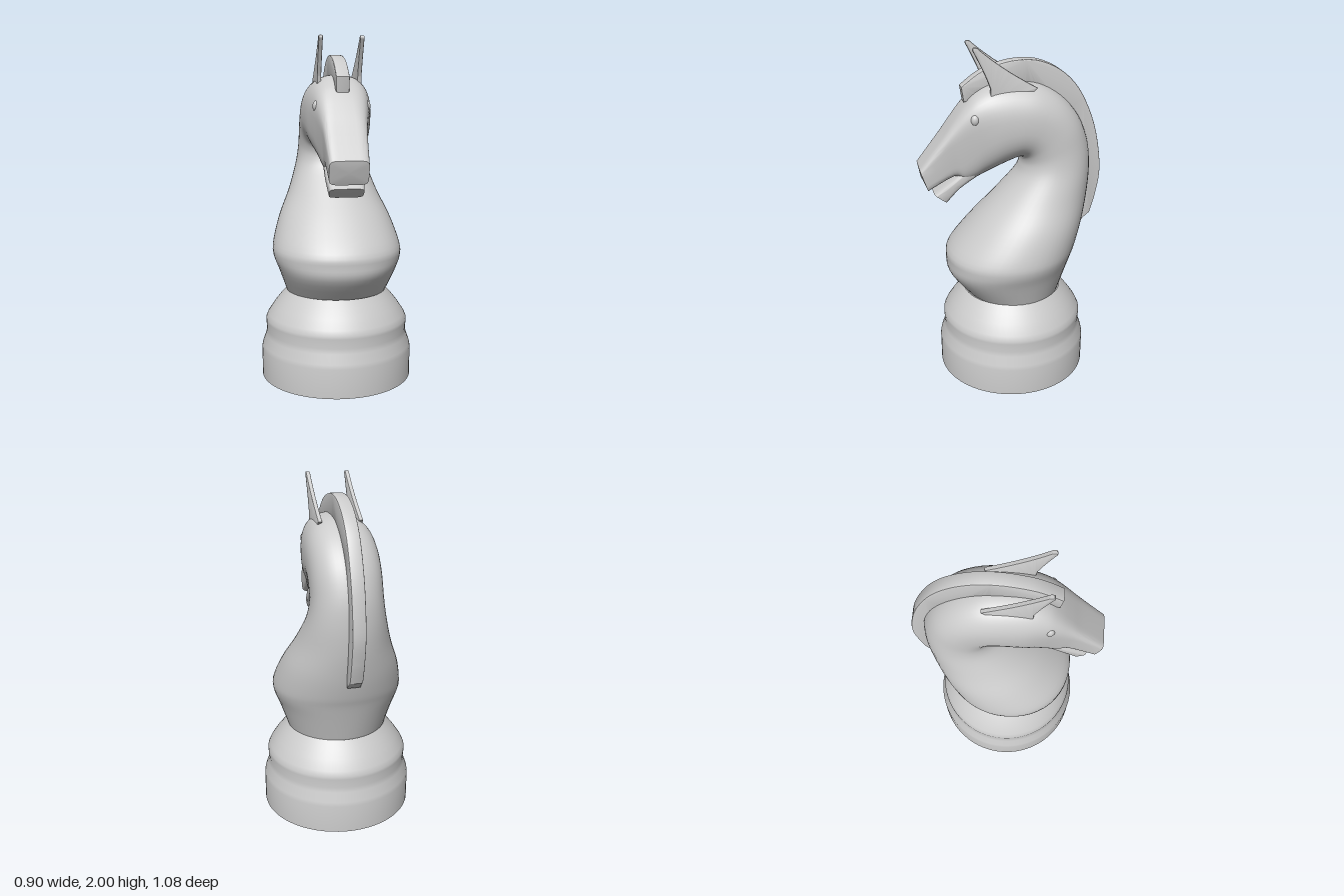
import * as THREE from 'three';
import { toCreasedNormals } from 'three/addons/utils/BufferGeometryUtils.js';

const grey = new THREE.MeshStandardMaterial({ color: 0xcccccc, side: THREE.DoubleSide });

function part(name, geometry) {
  const mesh = new THREE.Mesh(geometry, grey);
  mesh.name = name;
  return mesh;
}

// Catmull-Rom blend of four numbers
function blend(a, b, c, d, t) {
  return b + 0.5 * t * (c - a + t * (2 * a - 5 * b + 4 * c - d + t * (3 * (b - c) + d - a)));
}

// Loft of rounded cross-sections. Each row holds
// front z, front y, back z, back y, half width, squareness, taper towards the back
function loft(rows, steps, crease) {
  const sides = 48, last = rows.length - 1, rings = last * steps;
  const row = (i) => rows[Math.max(0, Math.min(last, i))];
  const position = [], index = [];
  let s;
  for (let i = 0; i <= rings; i++) {
    const k = Math.min(Math.floor(i / steps), last - 1), t = i / steps - k;
    s = row(k).map((v, c) => blend(row(k - 1)[c], v, row(k + 1)[c], row(k + 2)[c], t));
    const [fz, fy, bz, by, w, n, taper] = s;
    for (let j = 0; j < sides; j++) {
      const a = (j / sides) * Math.PI * 2, c0 = Math.cos(a), s0 = Math.sin(a);
      const c = Math.sign(c0) * Math.abs(c0) ** (2 / n);
      const x = Math.sign(s0) * Math.abs(s0) ** (2 / n) * w * (1 + taper * c);
      position.push(x, (fy + by) / 2 + (c * (fy - by)) / 2, (fz + bz) / 2 + (c * (fz - bz)) / 2);
      if (i < rings) {
        const p = i * sides + j, q = i * sides + ((j + 1) % sides);
        index.push(p, q, q + sides, p, q + sides, p + sides);
      }
    }
  }
  // Closing cap with a slightly raised middle
  const tip = position.length / 3, start = rings * sides;
  position.push(0, (s[1] + s[3]) / 2, (s[0] + s[2]) / 2 + 0.01);
  for (let j = 0; j < sides; j++) index.push(start + j, start + ((j + 1) % sides), tip);
  const g = new THREE.BufferGeometry();
  g.setAttribute('position', new THREE.Float32BufferAttribute(position, 3));
  g.setIndex(index);
  return toCreasedNormals(g, crease);
}

// Flat plate drawn in the side plane (z, y), centred on x = 0
function plate(shape, thickness, bevel) {
  const depth = thickness - 2 * bevel;
  const g = new THREE.ExtrudeGeometry(shape, {
    depth, bevelEnabled: true, bevelSize: bevel, bevelThickness: bevel,
    bevelOffset: -bevel, bevelSegments: 2, curveSegments: 40,
  });
  g.translate(0, 0, -depth / 2);
  g.rotateY(-Math.PI / 2);
  return toCreasedNormals(g, 0.6);
}

const points = (list) => list.map(([a, b]) => new THREE.Vector2(a, b));

export function createModel() {
  const model = new THREE.Group();
  model.name = 'knightChessPiece';

  // Turned foot, open underneath
  const profile = points([
    [0.452, 0], [0.452, 0.17], [0.447, 0.195], [0.427, 0.25], [0.421, 0.28], [0.426, 0.335],
    [0.425, 0.352], [0.412, 0.38], [0.375, 0.435], [0.335, 0.485], [0.298, 0.525],
  ]);
  model.add(part('base', toCreasedNormals(new THREE.LatheGeometry(profile, 64), 0.6)));

  // Chest, neck and head in one sweep
  model.add(part('body', loft([
    [0.285, 0.52, -0.29, 0.52, 0.298, 2, 0],
    [0.385, 0.65, -0.33, 0.66, 0.345, 2.1, 0],
    [0.398, 0.73, -0.36, 0.76, 0.378, 2.1, 0],
    [0.382, 0.805, -0.385, 0.83, 0.377, 2.1, 0],
    [0.25, 0.96, -0.42, 0.96, 0.335, 2.1, 0],
    [0.115, 1.1, -0.45, 1.12, 0.27, 2.1, 0],
    [-0.015, 1.235, -0.46, 1.28, 0.222, 2.2, 0],
    [-0.05, 1.3, -0.445, 1.43, 0.203, 2.2, 0],
    [-0.055, 1.34, -0.385, 1.58, 0.2, 2.3, 0],
    [-0.045, 1.36, -0.28, 1.7, 0.2, 2.4, 0],
    [-0.02, 1.36, -0.15, 1.775, 0.2, 2.4, 0],
    [0.02, 1.345, -0.015, 1.795, 0.196, 2.4, 0],
    [0.09, 1.315, 0.12, 1.785, 0.185, 2.5, -0.02],
    [0.17, 1.28, 0.215, 1.74, 0.162, 2.9, -0.08],
    [0.23, 1.255, 0.28, 1.675, 0.142, 3.6, -0.1],
    [0.285, 1.25, 0.345, 1.59, 0.126, 4.5, -0.08],
    [0.345, 1.28, 0.41, 1.5, 0.116, 5.5, -0.05],
    [0.497, 1.205, 0.54, 1.335, 0.107, 6, 0],
  ], 4, 0.7)));

  // Lower jaw below the open mouth
  model.add(part('lowerJaw', loft([
    [0.22, 1.262, 0.28, 1.34, 0.105, 3.5, 0],
    [0.315, 1.205, 0.355, 1.268, 0.106, 4, 0],
    [0.39, 1.125, 0.465, 1.18, 0.095, 5, 0],
  ], 4, 0.7)));

  // Mane, from the forelock over the crest to the nape
  const mane = new THREE.Shape();
  mane.moveTo(0.275, 1.69);
  mane.lineTo(0.288, 1.775);
  mane.splineThru(points([
    [0.2, 1.84], [0.115, 1.88], [-0.015, 1.908], [-0.15, 1.9], [-0.28, 1.84], [-0.385, 1.735],
    [-0.465, 1.58], [-0.512, 1.42], [-0.535, 1.235], [-0.515, 1.08], [-0.483, 0.96],
  ]));
  mane.lineTo(-0.415, 0.905);
  mane.splineThru(points([
    [-0.41, 1.05], [-0.42, 1.235], [-0.4, 1.42], [-0.34, 1.56], [-0.25, 1.67], [-0.14, 1.74],
    [0, 1.755], [0.12, 1.745], [0.2, 1.71],
  ]));
  model.add(part('mane', plate(mane, 0.076, 0.008)));

  // Ears and eyes, mirrored
  const ear = new THREE.Shape();
  ear.moveTo(0.14, 1.7);
  ear.lineTo(0.143, 1.78);
  ear.quadraticCurveTo(0.17, 1.86, 0.236, 1.985);
  ear.quadraticCurveTo(0.235, 2.005, 0.21, 1.997);
  ear.quadraticCurveTo(0.08, 1.88, -0.12, 1.77);
  ear.lineTo(-0.05, 1.7);
  const earGeometry = plate(ear, 0.024, 0.006);
  const eyeGeometry = new THREE.SphereGeometry(0.03, 20, 14);
  for (const [side, sign] of [['left', 1], ['right', -1]]) {
    const earMesh = part(side + 'Ear', earGeometry);
    earMesh.position.x = sign * 0.115;
    const eye = part(side + 'Eye', eyeGeometry);
    eye.position.set(sign * 0.137, 1.615, 0.232);
    eye.scale.set(0.85, 1.1, 0.85);
    model.add(earMesh, eye);
  }
  return model;
}
